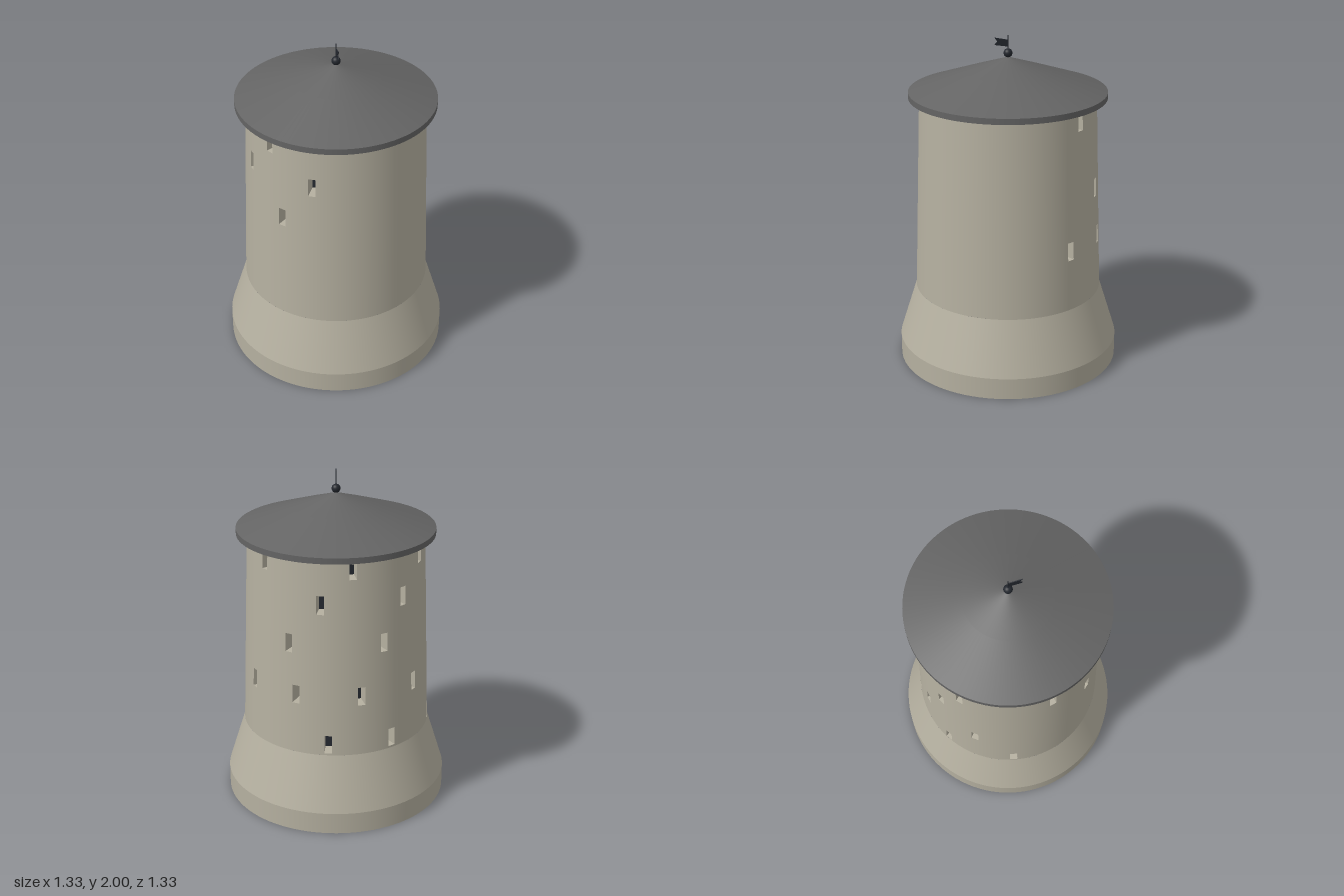
import * as THREE from 'three';

const STONE = 0xb5b0a0, SLATE = 0x646464, IRON = 0x23272e;

// Window rows: centre height, window height, angles in degrees (0 = front, 90 = +x)
const ROWS = [
  { y: 0.527, h: 0.11, at: [175, 215, 260] },
  { y: 0.823, h: 0.11, at: [120, 155, 195, 235] },
  { y: 1.13, h: 0.11, at: [150, 210, 315] },
  { y: 1.376, h: 0.11, at: [170, 225, 285, 335] },
  { y: 1.57, h: 0.09, at: [130, 190, 245, 305] },
];
const HALF = 2.3;          // half width of a window in degrees
const DEPTH = 0.09;        // depth of a window recess
const Y0 = 0.46, Y1 = 1.64, R0 = 0.563, R1 = 0.52;

const radius = y => R0 + (R1 - R0) * (y - Y0) / (Y1 - Y0);
const onWall = (deg, y) => {
  const a = THREE.MathUtils.degToRad(deg), r = radius(y);
  return new THREE.Vector3(r * Math.sin(a), y, r * Math.cos(a));
};

function material(color, double = false) {
  return new THREE.MeshStandardMaterial({ color, side: double ? THREE.DoubleSide : THREE.FrontSide });
}

function part(name, geometry, mat) {
  const mesh = new THREE.Mesh(geometry, mat);
  mesh.name = name;
  return mesh;
}

// Geometry from a list of quads, corners counter-clockwise
function quads(list) {
  const points = list.flatMap(([a, b, c, d]) => [a, b, c, a, c, d]);
  const g = new THREE.BufferGeometry().setFromPoints(points);
  g.computeVertexNormals();
  return g;
}

// Tapered wall as a grid of cells, leaving out the cells of the windows
function wallGeometry() {
  const heights = [Y0, ...ROWS.flatMap(r => [r.y - r.h / 2, r.y + r.h / 2]), Y1];
  const cells = [];
  for (let j = 0; j < heights.length - 1; j++) {
    const row = j % 2 ? ROWS[(j - 1) / 2] : null;
    const [lo, hi] = [heights[j], heights[j + 1]];
    const cell = (a, b) => cells.push([onWall(a, lo), onWall(b, lo), onWall(b, hi), onWall(a, hi)]);
    for (let deg = 0; deg < 360; deg += 5) {
      if (!row || !row.at.includes(deg)) cell(deg - HALF, deg + HALF);
      cell(deg + HALF, deg + 5 - HALF);
    }
  }
  const g = quads(cells);
  // smooth round normals
  const p = g.attributes.position, n = g.attributes.normal, v = new THREE.Vector3();
  const slope = (R0 - R1) / (Y1 - Y0);
  for (let i = 0; i < p.count; i++) {
    v.set(p.getX(i), 0, p.getZ(i)).normalize().setY(slope).normalize();
    n.setXYZ(i, v.x, v.y, v.z);
  }
  return g;
}

// Sides and dark back of every window recess
function recesses() {
  const sides = [], backs = [];
  for (const { y, h, at } of ROWS) {
    for (const deg of at) {
      const a = THREE.MathUtils.degToRad(deg);
      const inward = new THREE.Vector3(-Math.sin(a), 0, -Math.cos(a)).multiplyScalar(DEPTH);
      const lo = y - h / 2, hi = y + h / 2;
      const front = [onWall(deg - HALF, lo), onWall(deg + HALF, lo), onWall(deg + HALF, hi), onWall(deg - HALF, hi)];
      const back = front.map(p => p.clone().add(inward));
      for (let i = 0; i < 4; i++) {
        const k = (i + 1) % 4;
        sides.push([front[i], front[k], back[k], back[i]]);
      }
      backs.push(back);
    }
  }
  return [quads(sides), quads(backs)];
}

// Turned solid with sharp edges: each straight run of the profile is its own band
function bands(name, profile, mat) {
  const group = new THREE.Group();
  group.name = name;
  for (let i = 0; i < profile.length - 1; i++) {
    const run = [profile[i], profile[i + 1]].map(([r, y]) => new THREE.Vector2(r, y));
    group.add(part(name + 'Band' + (i + 1), new THREE.LatheGeometry(run, 96), mat));
  }
  return group;
}

export function createModel() {
  const model = new THREE.Group();
  model.name = 'roundTower';
  const stone = material(STONE), slate = material(SLATE), iron = material(IRON);

  // Flared foot and tower wall
  model.add(bands('foot', [[0, 0], [0.667, 0], [0.667, 0.13], [R0, Y0]], stone));
  model.add(part('towerWall', wallGeometry(), stone));

  // Windows
  const [sides, backs] = recesses();
  model.add(part('windowReveals', sides, material(STONE, true)));
  model.add(part('windowOpenings', backs, material(IRON, true)));

  // Overhanging roof in two slopes
  model.add(bands('roof', [[0, 1.639], [0.583, 1.639], [0.583, 1.674], [0.255, 1.788], [0, 1.873]], slate));

  // Finial ball and pole
  const ball = part('finialBall', new THREE.SphereGeometry(0.026, 24, 16), iron);
  ball.position.y = 1.895;
  const pole = part('pole', new THREE.CylinderGeometry(0.0035, 0.0035, 0.14, 10), iron);
  pole.position.y = 1.93;
  model.add(ball, pole);

  // Swallow-tailed vane pointing to the front
  const outline = [[0, 1.932], [0.08, 1.945], [0.063, 1.965], [0.08, 1.988], [0, 1.972]];
  const shape = new THREE.Shape(outline.map(([z, y]) => new THREE.Vector2(-z, y)));
  const vaneGeometry = new THREE.ExtrudeGeometry(shape, { depth: 0.005, bevelEnabled: false });
  vaneGeometry.translate(0, 0, -0.0025).rotateY(Math.PI / 2);
  model.add(part('vane', vaneGeometry, iron));

  return model;
}
